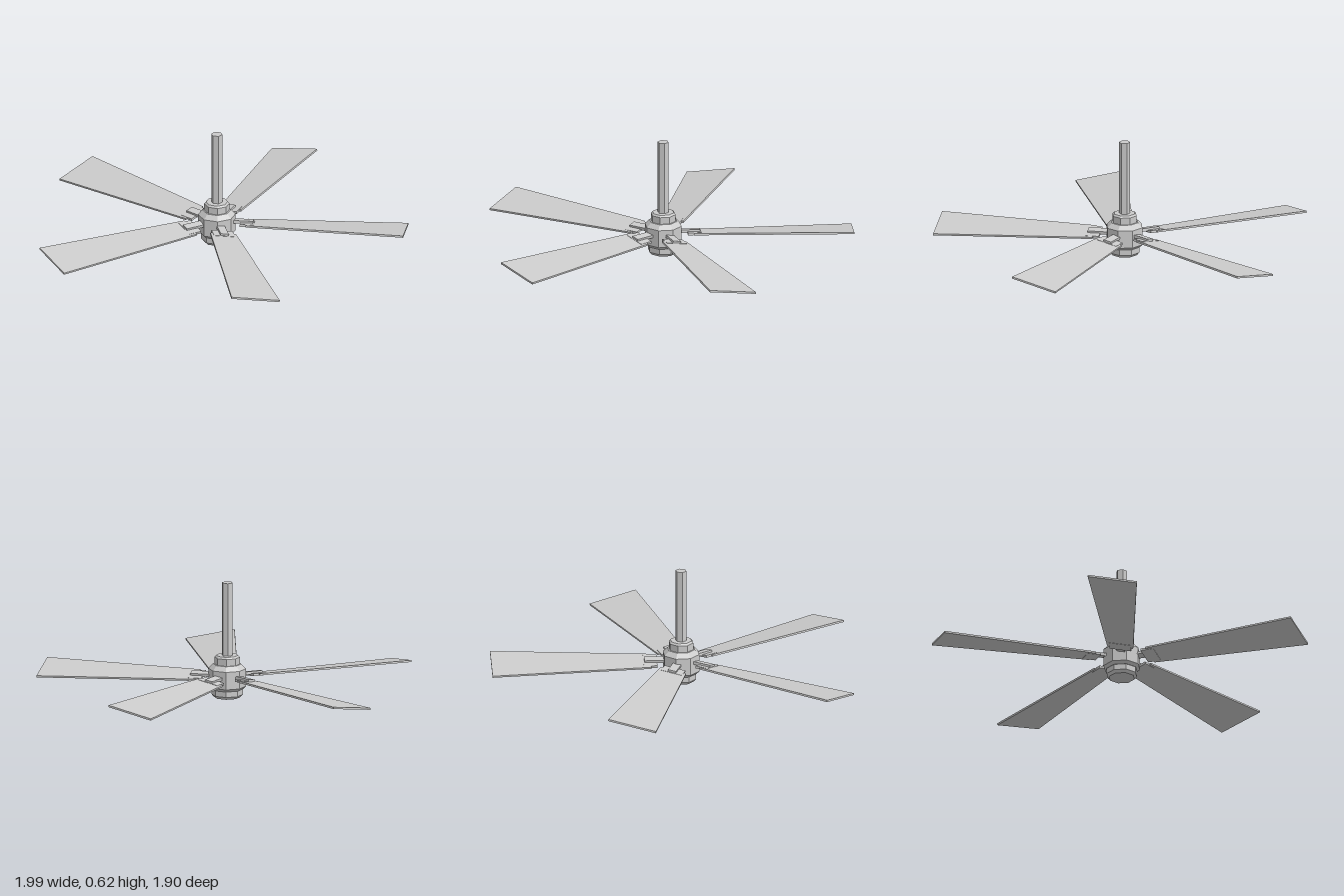
import * as THREE from 'three';

const material = new THREE.MeshStandardMaterial({ color: 0xcccccc, flatShading: true });

function addMesh(parent, name, geometry) {
  const mesh = new THREE.Mesh(geometry, material);
  mesh.name = name;
  parent.add(mesh);
  return mesh;
}

// Eight-sided turned body from [radius, height] pairs, listed bottom to top
function turned(profile) {
  return new THREE.LatheGeometry(profile.map(([r, y]) => new THREE.Vector2(r, y)), 8);
}

// Flat tapered plate running along -z between two radii, centred on y
function plate(innerRadius, outerRadius, innerHalf, outerHalf, thickness, y) {
  const shape = new THREE.Shape([
    new THREE.Vector2(-innerHalf, innerRadius),
    new THREE.Vector2(innerHalf, innerRadius),
    new THREE.Vector2(outerHalf, outerRadius),
    new THREE.Vector2(-outerHalf, outerRadius),
  ]);
  const geometry = new THREE.ExtrudeGeometry(shape, { depth: thickness, bevelEnabled: false });
  return geometry.rotateX(-Math.PI / 2).translate(0, y - thickness / 2, 0);
}

export function createModel() {
  const fan = new THREE.Group();
  fan.name = 'ceilingFan';

  // The five-blade spread puts the hub slightly in front of the centre
  const body = new THREE.Group();
  body.name = 'fanBody';
  body.position.z = 0.055;
  fan.add(body);

  // Hub stack
  addMesh(body, 'lowerCap', turned([[0, 0], [0.07, 0], [0.083, 0.015], [0.083, 0.05], [0.07, 0.06], [0, 0.06]]));
  addMesh(body, 'motorHousing', turned([[0, 0.045], [0.085, 0.045], [0.1, 0.06], [0.1, 0.155], [0.075, 0.18], [0, 0.18]]));
  addMesh(body, 'upperCollar', turned([[0, 0.175], [0.067, 0.175], [0.067, 0.217], [0.058, 0.227], [0, 0.227]]));

  // Hanging rod
  const rod = addMesh(body, 'hangingRod', new THREE.CylinderGeometry(0.03, 0.03, 0.4, 6));
  rod.position.y = 0.42;
  rod.rotation.y = Math.PI / 6;

  // Five pitched blades with their brackets
  const bladeGeometry = plate(0.16, 1.005, 0.07, 0.132, 0.01, 0);
  const rootGeometry = plate(0.128, 0.2, 0.058, 0.058, 0.013, 0);
  const armGeometry = plate(0.07, 0.195, 0.022, 0.022, 0.016, 0.009);
  for (let i = 0; i < 5; i++) {
    const spoke = new THREE.Group();
    spoke.name = `bladeAssembly${i + 1}`;
    spoke.position.y = 0.11;
    spoke.rotation.y = -i * Math.PI * 2 / 5;
    body.add(spoke);

    const pitched = new THREE.Group();
    pitched.name = 'pitchedBlade';
    pitched.rotation.z = 0.165;
    spoke.add(pitched);
    addMesh(pitched, 'blade', bladeGeometry);
    addMesh(pitched, 'bladeRoot', rootGeometry);
    addMesh(pitched, 'bladeArm', armGeometry);
  }

  return fan;
}
